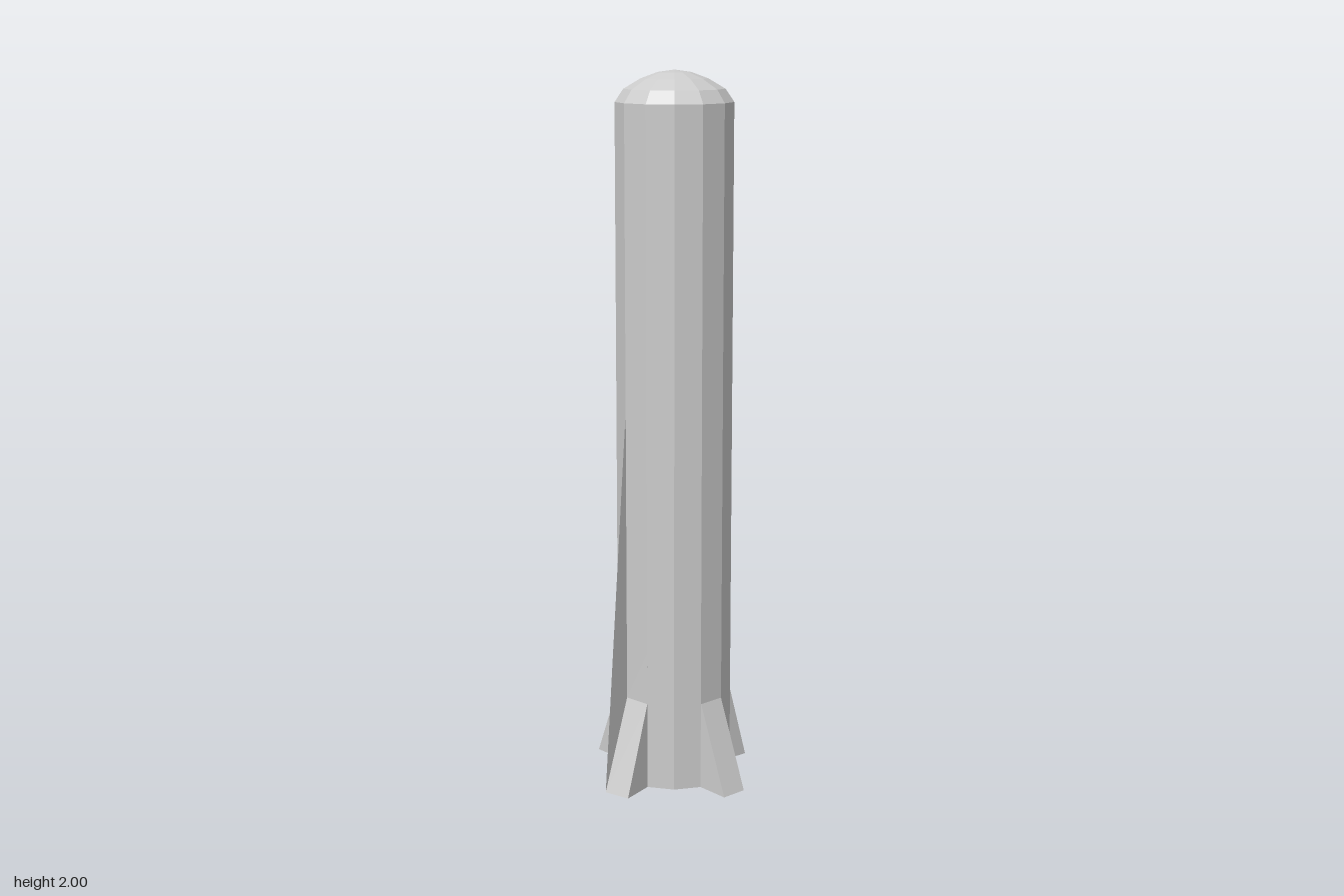
import * as THREE from 'three';

const SIDES = 13, RADIUS = 0.162, CX = 0.012, CZ = 0.005;
const SHOULDER = 0.25; // height where the sloping foot of a fin meets the body

// corner k of the body, counted from the back towards -x
const corner = (k, y) => {
  const a = Math.PI + (k * 2 * Math.PI) / SIDES;
  return [CX + RADIUS * Math.sin(a), y, CZ + RADIUS * Math.cos(a)];
};

// flat polygons, each split into a fan from its first corner
function polygons(faces) {
  const pos = [];
  for (const f of faces)
    for (let i = 1; i < f.length - 1; i++) pos.push(...f[0], ...f[i], ...f[i + 1]);
  const g = new THREE.BufferGeometry();
  g.setAttribute('position', new THREE.Float32BufferAttribute(pos, 3));
  g.computeVertexNormals();
  return g;
}

// fin on the body side between corners k and k+1
// outer, shoulder: [x, z] of both edges; reach: height of both edges on the body
function finGeometry({ k, outer, shoulder, reach, flap }) {
  const [oA, oB] = outer.map(([x, z]) => [x, 0, z]);
  const [sA, sB] = shoulder.map(([x, z]) => [x, SHOULDER, z]);
  const bA = corner(k, 0), bB = corner(k + 1, 0);
  const tA = corner(k, reach[0]), tB = corner(k + 1, reach[1]);
  return polygons([
    [oA, oB, sB, sA],                            // sloping foot
    [sA, sB, tB, tA],                            // strip running up the body
    flap ? [bA, oA, tA] : [bA, oA, sA, tA],      // first side, a tall thin web if flap
    [bB, tB, sB, oB],                            // second side
    [bA, bB, oB, oA],                            // underside
  ]);
}

export function createModel() {
  const group = new THREE.Group();
  const add = (name, geometry, side = THREE.FrontSide) => {
    const mat = new THREE.MeshStandardMaterial({ color: 0xcccccc, flatShading: true, side });
    const mesh = new THREE.Mesh(geometry, mat);
    mesh.name = name;
    group.add(mesh);
    return mesh;
  };
  const lathe = (pts) => new THREE.LatheGeometry(
    pts.map(([r, y]) => new THREE.Vector2(r, y)), SIDES, Math.PI).translate(CX, 0, CZ);

  // thirteen-sided shaft with a closed base, and its rounded top
  add('body', lathe([[0, 0], [RADIUS, 0], [RADIUS, 1.915]]));
  add('dome', lathe([[RADIUS, 1.915], [0.138, 1.95], [0.092, 1.977], [0.048, 1.993], [0, 2]]));

  // four fins around the foot
  const fins = {
    backFin: { k: 0, outer: [[0.007, -0.262], [-0.066, -0.245]],
      shoulder: [[0.012, -0.157], [-0.064, -0.147]], reach: [1.08, 1.8], flap: true },
    rightFin: { k: 3, outer: [[-0.252, 0.012], [-0.233, 0.087]],
      shoulder: [[-0.149, -0.0145], [-0.14, 0.063]], reach: [1.08, 0.4], flap: true },
    frontFin: { k: 6, outer: [[-0.026, 0.26], [0.05, 0.26]],
      shoulder: [[-0.026, 0.163], [0.05, 0.163]], reach: [0.41, 0.36] },
    leftFin: { k: 9, outer: [[0.24, 0.066], [0.25, -0.01]],
      shoulder: [[0.172, 0.06], [0.173, -0.0145]], reach: [1.08, 0.95] },
  };
  for (const [name, fin] of Object.entries(fins)) add(name, finGeometry(fin), THREE.DoubleSide);

  return group;
}
